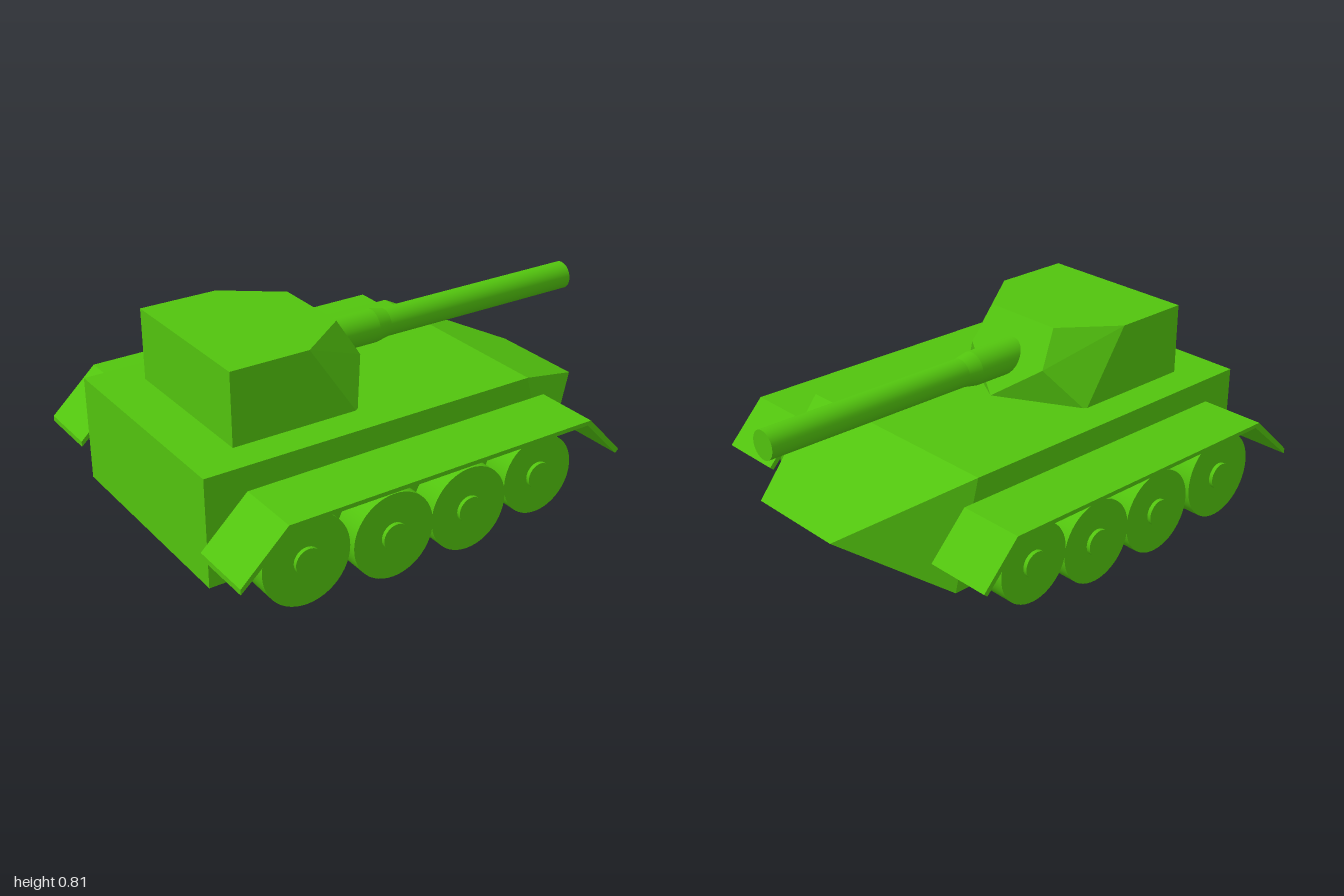
import * as THREE from 'three';
import { ConvexGeometry } from 'three/addons/geometries/ConvexGeometry.js';

const paint = new THREE.MeshStandardMaterial({ color: 0x52c40e });

function add(parent, name, geometry, x = 0, y = 0, z = 0) {
  const mesh = new THREE.Mesh(geometry, paint);
  mesh.name = name;
  mesh.position.set(x, y, z);
  parent.add(mesh);
  return mesh;
}

// Convex solid from [x, y, halfWidth] stations mirrored across z = 0
function mirroredSolid(stations) {
  const points = [];
  for (const [x, y, w] of stations) {
    points.push(new THREE.Vector3(x, y, w));
    if (w > 0) points.push(new THREE.Vector3(x, y, -w));
  }
  return new ConvexGeometry(points);
}

export function createModel() {
  const tank = new THREE.Group();
  tank.name = 'tank';

  // Hull with a wedge nose narrowing to a blunt edge
  add(tank, 'hull', mirroredSolid([
    [-0.97, 0.09, 0.475], [-0.97, 0.52, 0.475],
    [0.43, 0.52, 0.475], [0.54, 0.09, 0.475], [0.89, 0.32, 0.21],
  ]));

  // Turret with chamfered front corners
  add(tank, 'turret', mirroredSolid([
    [-0.78, 0.51, 0.337], [-0.78, 0.81, 0.337],
    [-0.46, 0.81, 0.337], [-0.24, 0.81, 0.17],
    [-0.26, 0.51, 0.337], [-0.155, 0.665, 0.2],
    [-0.23, 0.51, 0.26], [-0.07, 0.52, 0],
  ]));

  // Gun barrel: thick sleeve, short taper, long tube
  const sections = [
    ['barrelSleeve', -0.22, 0.03, 0.068, 0.068],
    ['barrelTaper', 0.03, 0.09, 0.068, 0.057],
    ['barrelTube', 0.09, 1.0, 0.057, 0.057],
  ];
  for (const [name, x0, x1, r0, r1] of sections) {
    const tube = new THREE.CylinderGeometry(r1, r0, x1 - x0, 32).rotateZ(-Math.PI / 2);
    add(tank, name, tube, (x0 + x1) / 2, 0.665, 0);
  }

  // Fender plate: bent strip extruded across its width
  const fenderShape = new THREE.Shape([
    [-1, 0.228], [-0.79, 0.412], [0.49, 0.417], [0.645, 0.255],
    [0.66, 0.268], [0.505, 0.434], [-0.81, 0.428], [-1, 0.25],
  ].map(([x, y]) => new THREE.Vector2(x, y)));
  const fender = new THREE.ExtrudeGeometry(fenderShape, { depth: 0.27, bevelEnabled: false })
    .translate(0, 0, -0.135);

  // Road wheels: [x, y, radius]
  const wheels = [
    [-0.69, 0.204, 0.178], [-0.325, 0.176, 0.171],
    [0.01, 0.176, 0.169], [0.335, 0.217, 0.16],
  ];
  for (const side of [1, -1]) {
    const label = side > 0 ? 'left' : 'right';
    add(tank, label + 'Fender', fender, 0, 0, side * 0.62);
    wheels.forEach(([x, y, r], i) => {
      const wheel = new THREE.Group();
      wheel.name = label + 'Wheel' + (i + 1);
      wheel.position.set(x, y, side * 0.607);
      add(wheel, 'tyre', new THREE.CylinderGeometry(r, r, 0.115, 48).rotateX(Math.PI / 2));
      add(wheel, 'hub', new THREE.CylinderGeometry(0.053, 0.053, 0.07, 32).rotateX(Math.PI / 2),
        0, 0, side * 0.038);
      tank.add(wheel);
    });
  }
  return tank;
}
